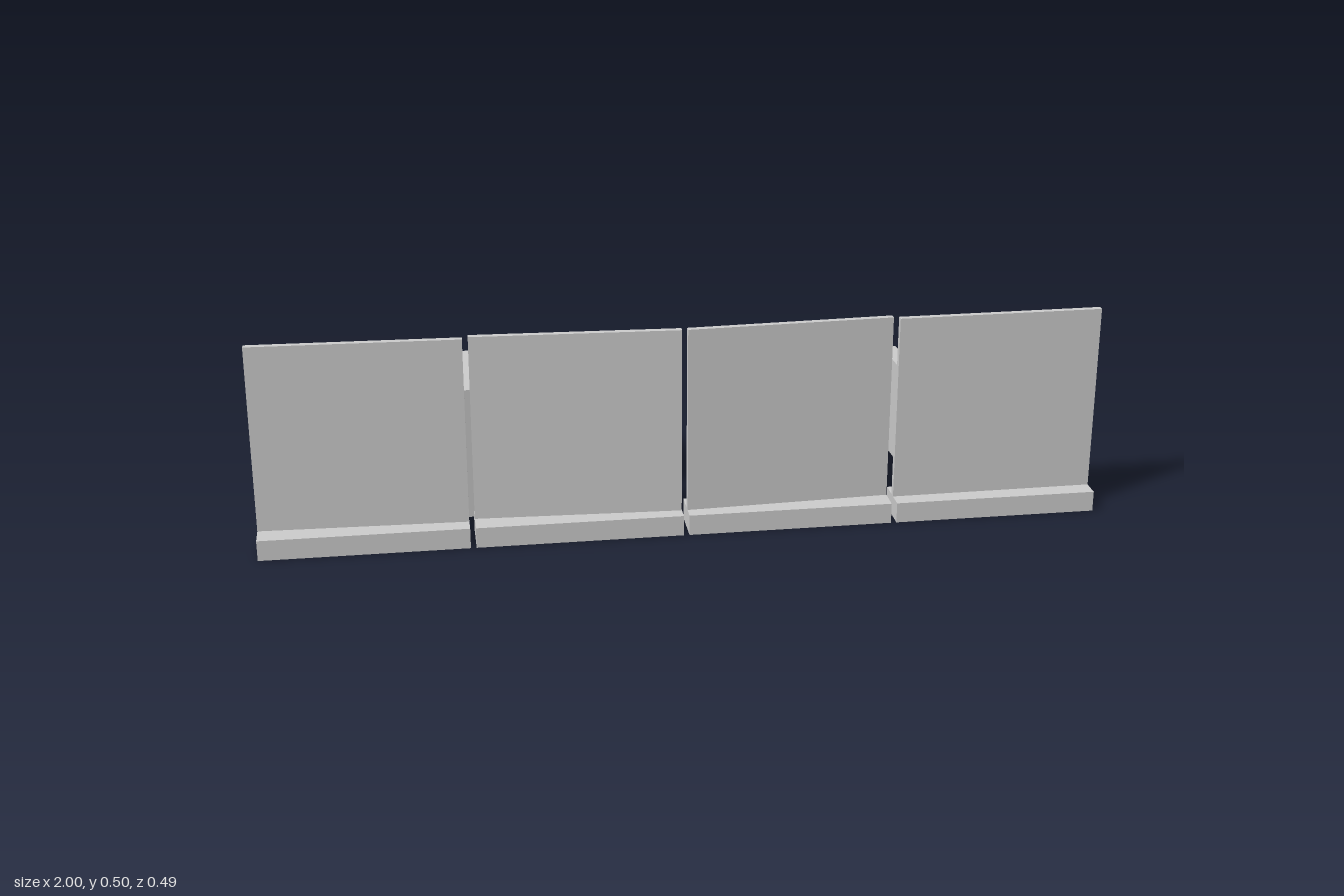
import * as THREE from 'three';

const grey = new THREE.MeshStandardMaterial({ color: 0xcccccc });
grey.name = 'plain grey';

// box standing on height y, turned about its vertical axis
function block(name, [w, h, d], [x, y, z], turn = 0) {
  const mesh = new THREE.Mesh(new THREE.BoxGeometry(w, h, d), grey);
  mesh.name = name;
  mesh.position.set(x, y + h / 2, z);
  mesh.rotation.y = turn;
  return mesh;
}

export function createModel() {
  const model = new THREE.Group();
  model.name = 'panelDisplay';

  // row of four upright panels, each slightly turned in its base
  const panels = [
    { turn: -0.03, z: 0.19 },
    { turn: -0.042, z: 0.194 },
    { turn: 0.042, z: 0.194 },
    { turn: 0.008, z: 0.194 },
  ];
  panels.forEach(({ turn, z }, i) => {
    const x = -0.755 + i * 0.5033;
    const stand = new THREE.Group();
    stand.name = 'panelStand';
    stand.add(
      block('base', [0.49, 0.05, 0.1], [x, 0, 0.195]),
      block('panel', [0.49, 0.453, 0.015], [x, 0.05, z], turn),
    );
    model.add(stand);
  });

  // large box behind the panels
  model.add(block('largeBox', [0.451, 0.328, 0.276], [-0.377, 0, -0.083], 0.1));

  // three thin upright slabs
  [[0.401, -0.16], [0.501, -0.075], [0.604, 0.036]].forEach(([x, turn]) => {
    model.add(block('slab', [0.036, 0.251, 0.3], [x, 0.026, -0.083], turn));
  });

  return model;
}
